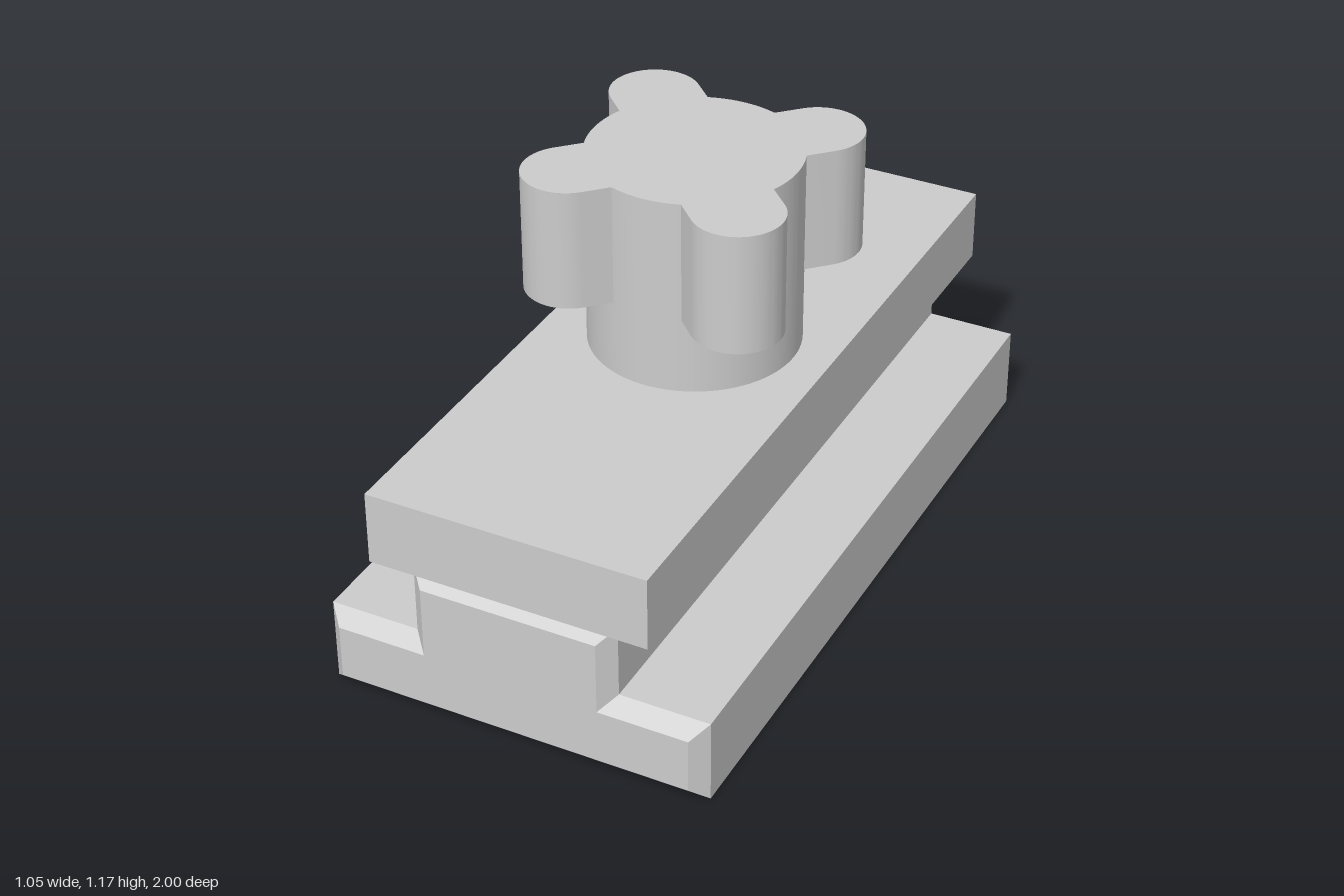
import * as THREE from 'three';
import { toCreasedNormals } from 'three/addons/utils/BufferGeometryUtils.js';

export function createModel() {
  const model = new THREE.Group();
  model.name = 'slideClamp';
  const grey = new THREE.MeshStandardMaterial({ color: 0xcccccc });
  grey.name = 'light grey';

  const add = (name, geometry, y) => {
    const mesh = new THREE.Mesh(geometry, grey);
    mesh.name = name;
    mesh.position.y = y;
    model.add(mesh);
  };

  // T-shaped rail, chamfered around both ends
  const half = [[0.525, 0], [0.525, 0.23], [0.28, 0.23], [0.28, 0.43]];
  const mirrored = half.map(([x, y]) => [-x, y]).reverse();
  const profile = new THREE.Shape([...half, ...mirrored].map(([x, y]) => new THREE.Vector2(x, y)));
  const chamfer = 0.04;
  const rail = new THREE.ExtrudeGeometry(profile, {
    depth: 2 - 2 * chamfer,
    bevelEnabled: true,
    bevelSegments: 1,
    bevelThickness: chamfer,
    bevelSize: chamfer,
    bevelOffset: -chamfer,
  });
  rail.translate(0, 0, chamfer - 1);
  add('rail', rail, 0);

  // Flat plate on top of the rail
  add('plate', new THREE.BoxGeometry(0.76, 0.2, 2), 0.53);

  // Round neck between plate and knob
  const hubRadius = 0.28;
  add('neck', new THREE.CylinderGeometry(hubRadius, hubRadius, 0.21, 96, 1, true), 0.735);

  // Knob: a round hub with four straight-sided, round-ended lobes
  const lobeRadius = 0.119;
  const lobeCentre = 0.234 * Math.SQRT2;
  const spread = Math.asin(lobeRadius / hubRadius);
  const outline = new THREE.Shape();
  for (let i = 0; i < 4; i++) {
    const a = Math.PI / 4 + i * Math.PI / 2;
    outline.absarc(Math.cos(a) * lobeCentre, Math.sin(a) * lobeCentre, lobeRadius,
      a - Math.PI / 2, a + Math.PI / 2, false);
    outline.absarc(0, 0, hubRadius, a + spread, a + Math.PI / 2 - spread, false);
  }
  const knob = new THREE.ExtrudeGeometry(outline, { depth: 0.33, bevelEnabled: false, curveSegments: 24 });
  knob.rotateX(-Math.PI / 2);
  add('knob', toCreasedNormals(knob, Math.PI / 7), 0.84);

  return model;
}
